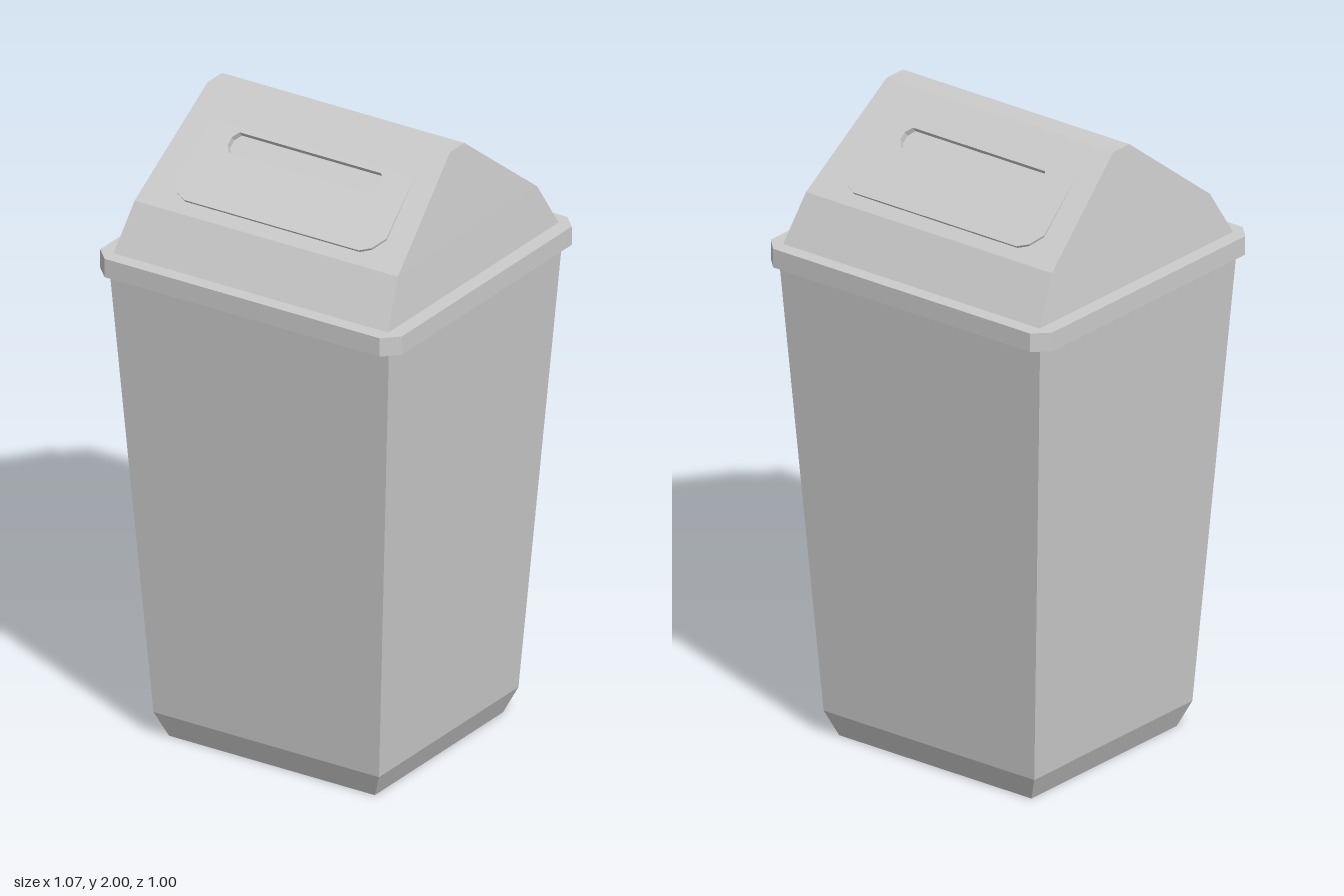
import * as THREE from 'three';

const material = new THREE.MeshStandardMaterial({ color: 0xcccccc, flatShading: true });

function part(name, geometry, parent) {
  const mesh = new THREE.Mesh(geometry, material);
  mesh.name = name;
  parent.add(mesh);
  return mesh;
}

// Rectangular rings [y, halfX, halfZ] joined bottom to top; skip(level, side) leaves a face open
function loft(rings, skip = () => false) {
  const corners = rings.map(([y, a, b]) => [[-a, y, b], [a, y, b], [a, y, -b], [-a, y, -b]]);
  const pos = [];
  const quad = (a, b, c, d) => pos.push(...a, ...b, ...c, ...a, ...c, ...d);
  for (let i = 0; i < corners.length - 1; i++) {
    for (let k = 0; k < 4; k++) {
      if (skip(i, k)) continue;
      const n = (k + 1) % 4;
      quad(corners[i][k], corners[i][n], corners[i + 1][n], corners[i + 1][k]);
    }
  }
  const [p, q, r, s] = corners[0];
  quad(s, r, q, p);
  quad(...corners[corners.length - 1]);
  const geometry = new THREE.BufferGeometry();
  geometry.setAttribute('position', new THREE.Float32BufferAttribute(pos, 3));
  geometry.computeVertexNormals();
  return geometry;
}

const shapeOf = (points) => new THREE.Shape(points.map(([x, y]) => new THREE.Vector2(x, y)));

// Rectangle with clipped corners
function clipped(x, y0, y1, cx, cy = cx) {
  return [[-x + cx, y0], [x - cx, y0], [x, y0 + cy], [x, y1 - cy],
    [x - cx, y1], [-x + cx, y1], [-x, y1 - cy], [-x, y0 + cy]];
}

// Plate whose outer surface lies on z = 0
function plate(points, hole, depth) {
  const shape = shapeOf(points);
  if (hole) shape.holes.push(shapeOf(hole));
  return new THREE.ExtrudeGeometry(shape, { depth, bevelEnabled: false }).translate(0, 0, -depth);
}

export function createModel() {
  const model = new THREE.Group();
  model.name = 'swingLidBin';

  // Tapered body with a bevelled foot
  part('body', loft([[0, 0.365, 0.34], [0.08, 0.40, 0.37], [1.53, 0.495, 0.46]]), model);

  // Rim with clipped corners
  const rim = new THREE.ExtrudeGeometry(shapeOf(clipped(0.535, -0.498, 0.498, 0.047)),
    { depth: 0.06, bevelEnabled: false });
  rim.rotateX(-Math.PI / 2).translate(0, 1.53, 0);
  part('rim', rim, model);

  // Lid shell, open where the two sloping panels sit
  const ridgeZ = 0.038, eaveZ = 0.37, eaveY = 1.735;
  part('lidShell', loft(
    [[1.59, 0.487, 0.452], [eaveY, 0.467, eaveZ], [2, 0.43, ridgeZ]],
    (level, side) => level === 1 && side % 2 === 0), model);

  // Sloping panels, drawn with y running up the slope and 0 at the ridge
  const length = Math.hypot(2 - eaveY, eaveZ - ridgeZ);
  const slot = clipped(0.267, -0.196, -0.125, 0.016, 0.022);
  const hingeY = -0.106;
  const flapOutline = [[-0.31, -0.383], [0.31, -0.383], [0.345, -0.365], [0.375, -0.323],
    [0.36, hingeY], [-0.36, hingeY], [-0.375, -0.323], [-0.345, -0.365]];

  for (const [name, turn] of [['front', 0], ['back', Math.PI]]) {
    const side = new THREE.Group();
    side.name = name + 'LidSide';
    side.rotation.y = turn;
    model.add(side);

    const slope = new THREE.Group();
    slope.name = name + 'Slope';
    slope.position.set(0, 2, ridgeZ);
    slope.rotation.x = -Math.atan2(eaveZ - ridgeZ, 2 - eaveY);
    side.add(slope);

    part(name + 'LidPanel', plate(
      [[-0.467, -length], [0.467, -length], [0.43, 0], [-0.43, 0]], slot, 0.02), slope);

    // Slot floor
    const floor = part(name + 'SlotFloor', new THREE.PlaneGeometry(0.56, 0.09), slope);
    floor.position.set(0, -0.16, -0.019);

    // Flap, hinged at the top and lifting slightly toward its lower edge
    const lower = ([x, y]) => [x, y - hingeY];
    const flap = part(name + 'Flap', plate(flapOutline.map(lower), slot.map(lower), 0.014), slope);
    flap.position.y = hingeY;
    flap.rotation.x = -0.032;
  }
  return model;
}
